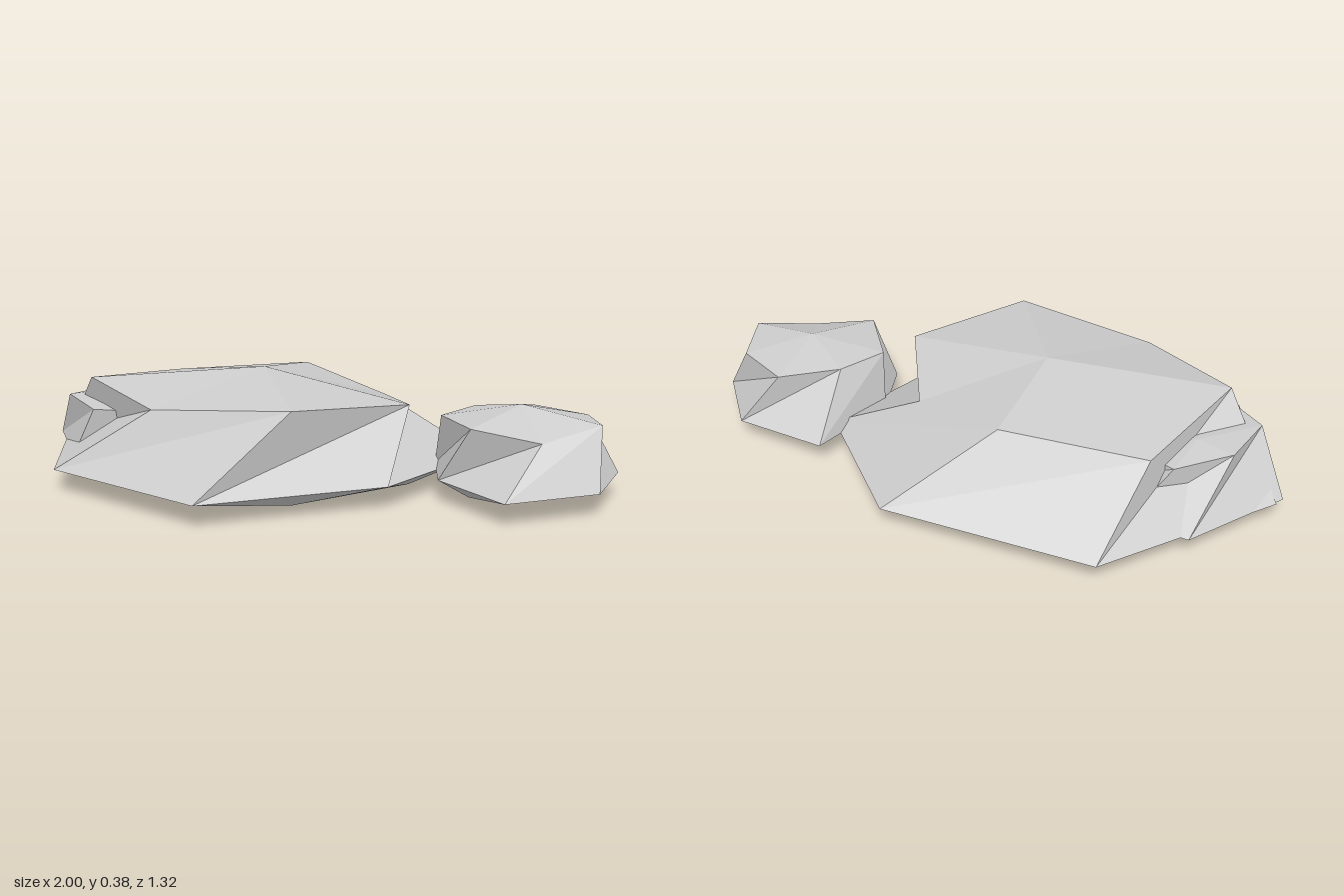
import * as THREE from 'three';

const MID_Y = 0.075; // height of the widest ring on every rock

// Faceted rock: peak, shoulder ring, staggered waist ring, lower ring, base point.
// waist: [x, z]; shoulder: [x, y, z], each lying between two waist corners.
function rock(name, material, peak, shoulder, waist, base, lowY) {
  const n = waist.length;
  const m = waist.map(([x, z]) => [x, MID_Y, z]);
  const low = shoulder.map(([x, , z]) => [x, lowY, z]);
  const pos = [];
  const tri = (a, b, c) => pos.push(...a, ...b, ...c);
  for (let i = 0; i < n; i++) {
    const j = (i + 1) % n;
    const h = (i + n - 1) % n;
    // top fan
    tri(peak, shoulder[j], shoulder[i]);
    // upper band, twisted by one corner so that it forms shallow notches
    tri(m[j], m[i], shoulder[h]);
    tri(m[j], shoulder[h], shoulder[i]);
    // lower band and bottom fan
    tri(m[i], m[j], low[i]);
    tri(low[i], m[j], low[j]);
    tri(base, low[i], low[j]);
  }
  const geometry = new THREE.BufferGeometry();
  geometry.setAttribute('position', new THREE.Float32BufferAttribute(pos, 3));
  geometry.computeVertexNormals(); // unshared corners give flat facets
  const mesh = new THREE.Mesh(geometry, material);
  mesh.name = name;
  return mesh;
}

export function createModel() {
  const group = new THREE.Group();
  group.name = 'rockCluster';
  const stone = new THREE.MeshStandardMaterial({ color: 0xcccccc, side: THREE.DoubleSide });
  stone.name = 'light grey stone';

  // broad flat boulder
  group.add(rock('largeRock', stone, [-0.19, 0.38, 0],
    [[-0.58, 0.29, -0.39], [-0.1, 0.33, -0.38], [0.21, 0.26, -0.17], [0.32, 0.3, 0.18],
      [-0.02, 0.33, 0.47], [-0.5, 0.29, 0.33], [-0.8, 0.33, 0.02]],
    [[-0.98, -0.24], [-0.46, -0.665], [0.25, -0.53], [0.55, -0.08],
      [0.27, 0.37], [-0.29, 0.655], [-0.84, 0.32]],
    [-0.19, 0, 0], 0.033));

  // separate small rock beside it
  group.add(rock('smallRock', stone, [0.68, 0.3, 0.12],
    [[0.73, 0.25, -0.11], [0.9, 0.25, 0.02], [0.93, 0.26, 0.22], [0.74, 0.22, 0.33],
      [0.52, 0.26, 0.33], [0.42, 0.255, 0.12], [0.53, 0.26, -0.03]],
    [[0.55, -0.24], [0.87, -0.15], [1, 0.09], [0.92, 0.36],
      [0.63, 0.51], [0.42, 0.27], [0.4, 0.05]],
    [0.68, 0.02, 0.12], 0.04));

  // small rock half buried in the side of the boulder
  group.add(rock('buriedRock', stone, [-0.71, 0.26, -0.2],
    [[-0.83, 0.245, -0.24], [-0.65, 0.24, -0.35], [-0.53, 0.23, -0.26], [-0.5, 0.23, -0.05],
      [-0.6, 0.23, 0.1], [-0.76, 0.24, 0.13], [-0.91, 0.25, -0.06]],
    [[-1, -0.21], [-0.72, -0.48], [-0.52, -0.42], [-0.42, -0.2],
      [-0.46, 0.06], [-0.64, 0.17], [-0.84, 0.12]],
    [-0.71, 0.035, -0.17], 0.045));

  return group;
}
